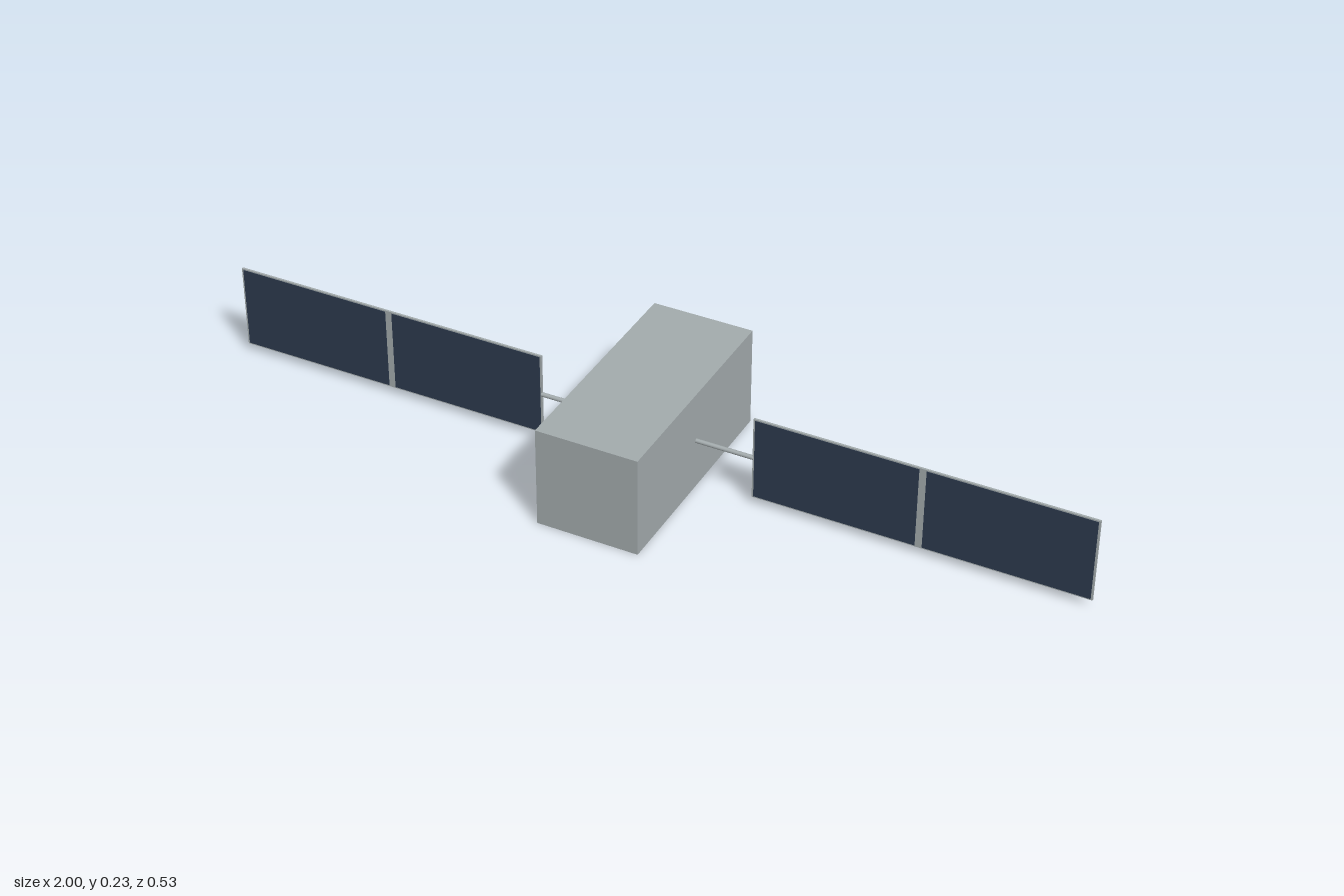
import * as THREE from 'three';

export function createModel() {
  const model = new THREE.Group();
  model.name = 'satellite';

  const hull = new THREE.MeshStandardMaterial({ color: 0xa3abad });
  hull.name = 'hull grey';
  const cellBlue = new THREE.MeshStandardMaterial({ color: 0x2c3a4e });
  cellBlue.name = 'solar cell navy';

  const midY = 0.1175;

  function addBox(parent, name, material, size, position) {
    const mesh = new THREE.Mesh(new THREE.BoxGeometry(...size), material);
    mesh.name = name;
    mesh.position.set(...position);
    parent.add(mesh);
  }

  // Main body, long from front to back
  addBox(model, 'body', hull, [0.234, 0.235, 0.53], [0, midY, 0]);

  // One solar wing on each side
  for (const [side, label] of [[1, 'left'], [-1, 'right']]) {
    const wing = new THREE.Group();
    wing.name = label + 'Wing';
    model.add(wing);

    // Round boom from the body to the panel
    const boom = new THREE.Mesh(new THREE.CylinderGeometry(0.005, 0.005, 0.14, 16), hull);
    boom.name = 'boom';
    boom.rotation.z = Math.PI / 2;
    boom.position.set(side * 0.18, midY, 0);
    wing.add(boom);

    // Thin backing panel
    addBox(wing, 'panel', hull, [0.752, 0.198, 0.005], [side * 0.624, midY, 0]);

    // Two cell plates on the front face, leaving a narrow centre strip
    for (const x of [0.434, 0.814]) {
      addBox(wing, 'solarCells', cellBlue, [0.364, 0.192, 0.001], [side * x, midY, 0.003]);
    }
  }
  return model;
}
